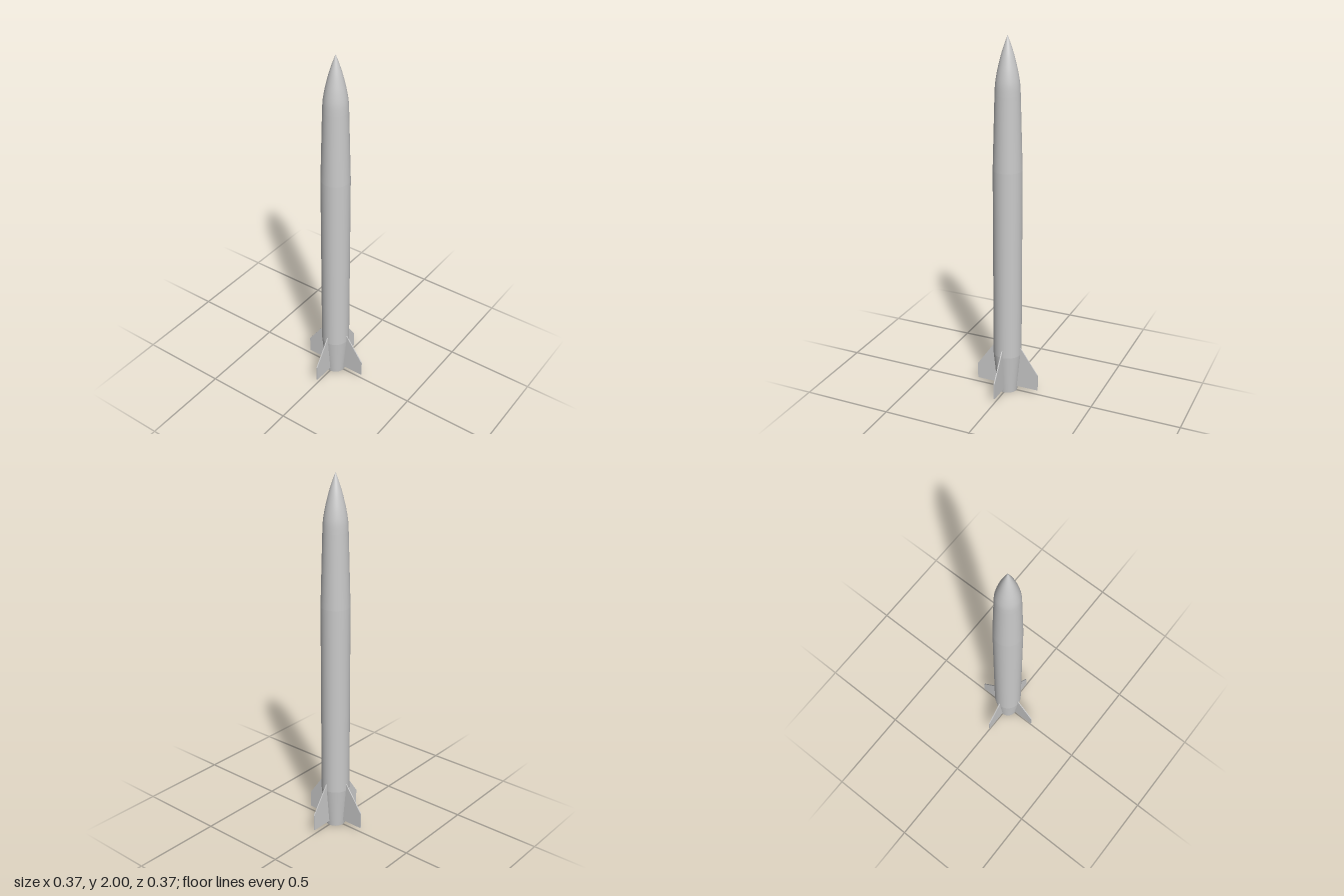
import * as THREE from 'three';

const paint = new THREE.MeshStandardMaterial({ color: 0xcacaca, side: THREE.DoubleSide });
paint.name = 'light grey';

// Smooth surface of revolution from [radius, height] pairs, bottom to top
function turned(name, points, segments = 48) {
  const profile = points.map(([r, y]) => new THREE.Vector2(r, y));
  const mesh = new THREE.Mesh(new THREE.LatheGeometry(profile, segments), paint);
  mesh.name = name;
  return mesh;
}

export function createModel() {
  const rocket = new THREE.Group();
  rocket.name = 'rocket';

  // Hollow tail cone, straight body, tapering forward section and pointed nose
  rocket.add(turned('tailCone', [[0.055, 0], [0.078, 0.23]]));
  rocket.add(turned('body', [[0.078, 0.23], [0.078, 1.3]]));
  rocket.add(turned('forwardSection', [[0.078, 1.3], [0.0665, 1.7]]));

  const noseCurve = new THREE.SplineCurve([
    [0.0665, 1.7], [0.0635, 1.755], [0.055, 1.81], [0.044, 1.86],
    [0.031, 1.91], [0.015, 1.96], [0, 2],
  ].map(([r, y]) => new THREE.Vector2(r, y)));
  rocket.add(turned('nose', noseCurve.getPoints(24).map((p) => [Math.max(p.x, 0), p.y])));

  // Four clipped fins whose roots follow the tail cone
  const outline = new THREE.Shape([
    [0.057, 0.027], [0.183, 0.027], [0.183, 0.12], [0.077, 0.272], [0.077, 0.23],
  ].map(([x, y]) => new THREE.Vector2(x, y)));
  const thickness = 0.006;
  const finGeometry = new THREE.ExtrudeGeometry(outline, { depth: thickness, bevelEnabled: false });
  finGeometry.translate(0, 0, -thickness / 2);
  ['leftFin', 'backFin', 'rightFin', 'frontFin'].forEach((name, i) => {
    const fin = new THREE.Mesh(finGeometry, paint);
    fin.name = name;
    fin.rotation.y = (i * Math.PI) / 2;
    rocket.add(fin);
  });

  return rocket;
}
